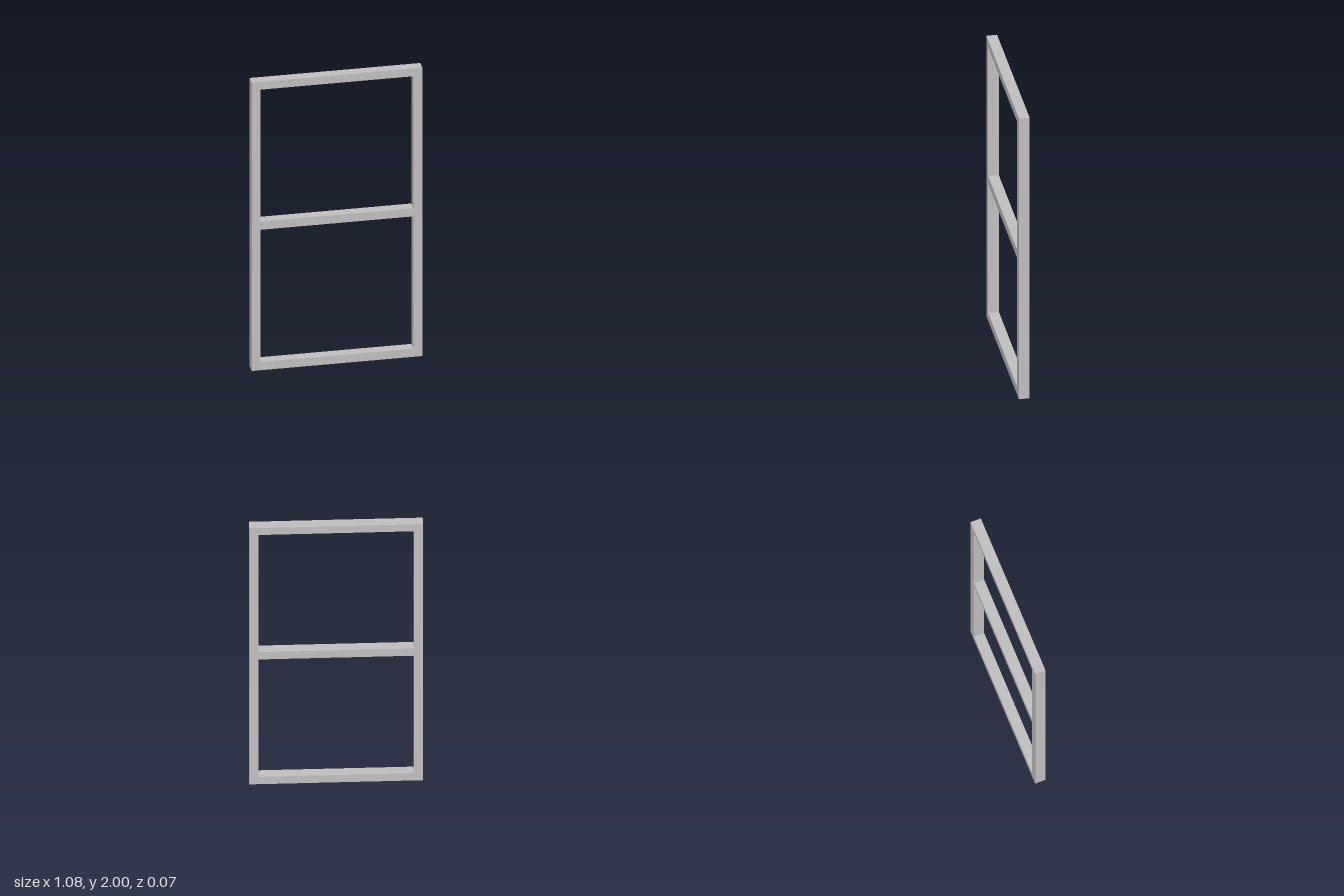
import * as THREE from 'three';

const HALF_W = 0.542, HEIGHT = 2, DEPTH = 0.068, INNER = 0.485;

// Adds a closed rectangle to a shape or path
function rect(path, x0, y0, x1, y1) {
  path.moveTo(x0, y0);
  path.lineTo(x1, y0);
  path.lineTo(x1, y1);
  path.lineTo(x0, y1);
  path.closePath();
  return path;
}

export function createModel() {
  const group = new THREE.Group();
  group.name = 'windowFrame';
  const grey = new THREE.MeshStandardMaterial({ color: 0xbfbfbf });
  grey.name = 'light grey';

  // Outer frame with a lower and an upper opening, leaving the middle rail
  const outline = rect(new THREE.Shape(), -HALF_W, 0, HALF_W, HEIGHT);
  for (const [bottom, top] of [[0.057, 0.974], [1.031, 1.946]]) {
    outline.holes.push(rect(new THREE.Path(), -INNER, bottom, INNER, top));
  }
  const geometry = new THREE.ExtrudeGeometry(outline, { depth: DEPTH, bevelEnabled: false });
  geometry.translate(0, 0, -DEPTH / 2);

  const frame = new THREE.Mesh(geometry, grey);
  frame.name = 'frame';
  group.add(frame);
  return group;
}
